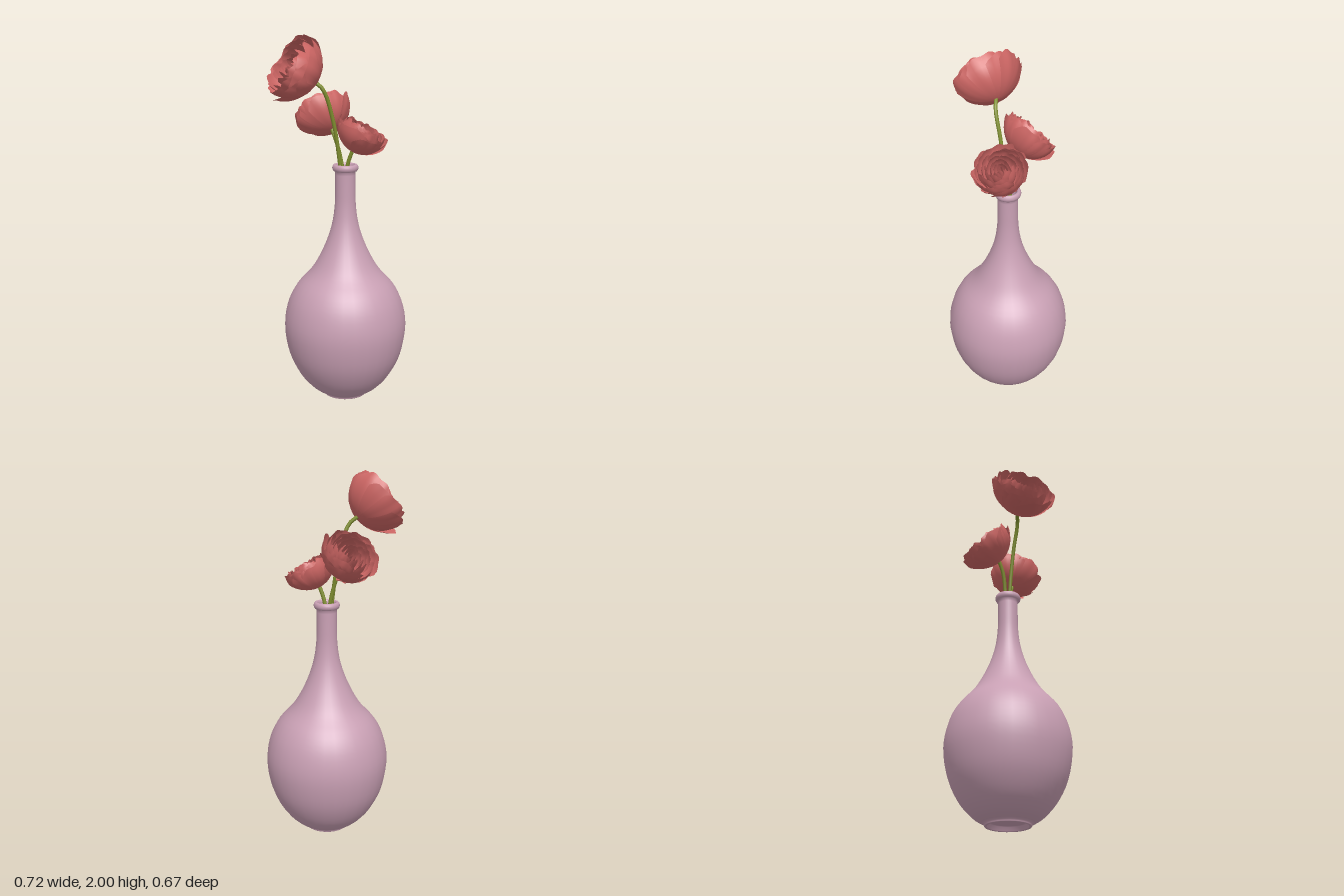
import * as THREE from 'three';
import { mergeGeometries } from 'three/addons/utils/BufferGeometryUtils.js';

const V = (x, y, z) => new THREE.Vector3(x, y, z);

const vaseMat = new THREE.MeshStandardMaterial({ color: 0xc9a0b4, side: THREE.DoubleSide });
vaseMat.name = 'mauve glaze';
const petalMat = new THREE.MeshStandardMaterial({ color: 0xcd6664, side: THREE.DoubleSide });
petalMat.name = 'coral petal';
const stemMat = new THREE.MeshStandardMaterial({ color: 0x7f8e2f });
stemMat.name = 'green stem';

// Small seeded generator for petal variation
function seeded(seed) {
  let s = seed;
  return () => (s = (s * 16807) % 2147483647) / 2147483647;
}

// One petal: a patch of a cup around the flower axis
function petal({ R, D, A, half, angle, lean, trim, phase }) {
  const g = new THREE.PlaneGeometry(2, 1, 12, 9);
  const p = g.attributes.position;
  for (let i = 0; i < p.count; i++) {
    const u = p.getX(i), t = p.getY(i) + 0.5;
    const reach = t * trim * (1 - 0.2 * Math.abs(u) ** 3 + 0.02 * Math.cos(u * 7 + phase));
    const a = reach * A;
    const pleat = 0.018 * t * Math.cos(u * 9 + phase);
    // One side sits outside its neighbour, the other tucks under
    const r = R * Math.sin(a) * (1 + 0.09 * u * t + lean * t * t + pleat);
    const h = D * (1 - Math.cos(a)) / (1 - Math.cos(A));
    const th = angle + u * half;
    p.setXYZ(i, r * Math.cos(th), h, r * Math.sin(th));
  }
  g.computeVertexNormals();
  return g;
}

// Petal rings from outside to inside: radius, height, curl (degrees), count, half-width
const rings = [
  [1.0, 0.93, 84, 6, 0.66],
  [0.95, 1.0, 96, 6, 0.66],
  [0.85, 1.06, 108, 6, 0.64],
  [0.71, 1.09, 116, 6, 0.62],
  [0.56, 1.1, 124, 5, 0.7],
  [0.4, 1.08, 130, 5, 0.7],
  [0.25, 1.04, 135, 4, 0.8],
  [0.12, 1.0, 135, 3, 0.9],
];

function bloom(size, seed) {
  const rnd = seeded(seed);
  const parts = [];
  rings.forEach(([R, D, deg, n, half], k) => {
    for (let i = 0; i < n; i++) {
      parts.push(petal({
        R: R * size, D: D * size, A: THREE.MathUtils.degToRad(deg),
        half: half * (0.9 + 0.25 * rnd()),
        angle: (i / n) * Math.PI * 2 + k * 0.55 + (rnd() - 0.5) * 0.25,
        lean: (rnd() - 0.4) * 0.12,
        trim: 0.92 + 0.1 * rnd(),
        phase: rnd() * 6,
      }));
    }
  });
  return mergeGeometries(parts);
}

function vase() {
  // Outer body curve from foot to neck
  const body = new THREE.SplineCurve([
    [0.122, 0.012], [0.185, 0.05], [0.255, 0.13], [0.312, 0.25], [0.337, 0.4],
    [0.318, 0.53], [0.27, 0.63], [0.195, 0.715], [0.15, 0.785], [0.105, 0.88],
    [0.073, 0.98], [0.058, 1.08], [0.055, 1.18], [0.055, 1.272],
  ].map(([r, y]) => new THREE.Vector2(r, y))).getPoints(48);
  const vec = (list) => list.map(([r, y]) => new THREE.Vector2(r, y));
  const profile = [
    ...vec([[0, 0.025], [0.092, 0.025], [0.098, 0.022], [0.106, 0.002], [0.109, 0], [0.119, 0], [0.122, 0.003]]),
    ...body,
    // Rolled lip, then the hollow inside of the neck
    ...vec([[0.064, 1.275], [0.069, 1.283], [0.071, 1.292], [0.069, 1.302], [0.064, 1.309], [0.057, 1.311],
      [0.05, 1.307], [0.046, 1.295], [0.045, 1.2], [0.048, 1.08], [0.062, 0.98], [0.095, 0.88], [0.14, 0.785],
      [0.185, 0.715], [0.255, 0.63], [0.305, 0.53], [0.322, 0.4], [0.295, 0.25], [0.24, 0.13], [0.12, 0.05], [0, 0.045]]),
  ];
  const mesh = new THREE.Mesh(new THREE.LatheGeometry(profile, 32), vaseMat);
  mesh.position.set(0.037, 0, -0.007);
  mesh.name = 'vase';
  return mesh;
}

// Each flower: size, base of the bloom, facing direction, stem points below the bloom
const flowers = [
  { name: 'tallFlower', size: 0.178, seed: 71, base: V(-0.11, 1.755, 0.085), axis: V(-0.6, 0.5, 0.55),
    stem: [V(0.045, 0.9, -0.01), V(0.012, 1.31, 0.012), V(-0.02, 1.56, 0.045), V(-0.065, 1.72, 0.085)] },
  { name: 'backFlower', size: 0.152, seed: 913, base: V(-0.04, 1.495, -0.025), axis: V(-0.5, 0.65, -0.5),
    stem: [V(0.05, 0.9, 0.0), V(0.02, 1.28, -0.015), V(-0.012, 1.42, -0.017)] },
  { name: 'lowFlower', size: 0.14, seed: 4021, base: V(0.075, 1.387, 0.004), axis: V(0.5, 0.86, 0.02),
    stem: [V(0.02, 0.9, 0.0), V(0.042, 1.25, -0.005), V(0.054, 1.32, 0)] },
];

export function createModel() {
  const model = new THREE.Group();
  model.name = 'vaseWithFlowers';
  model.add(vase());

  for (const f of flowers) {
    const group = new THREE.Group();
    group.name = f.name;
    const axis = f.axis.clone().normalize();

    const petals = new THREE.Mesh(bloom(f.size, f.seed), petalMat);
    petals.name = 'petals';
    petals.position.copy(f.base);
    petals.quaternion.setFromUnitVectors(V(0, 1, 0), axis);

    const tip = f.base.clone().addScaledVector(axis, 0.02);
    const path = new THREE.CatmullRomCurve3([...f.stem, tip]);
    const stem = new THREE.Mesh(new THREE.TubeGeometry(path, 28, 0.0105, 10), stemMat);
    stem.name = 'stem';

    group.add(petals, stem);
    model.add(group);
  }
  return model;
}
